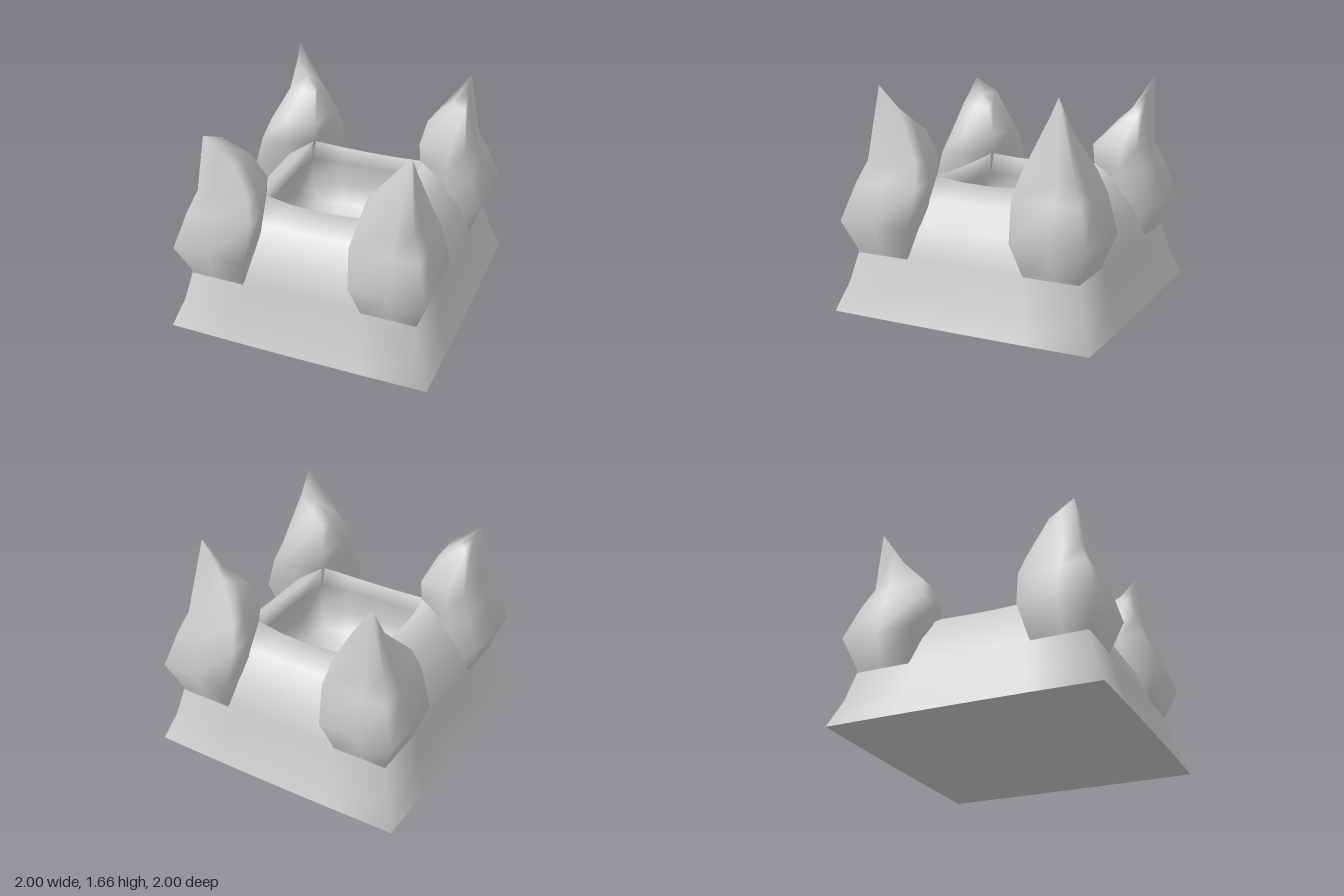
import * as THREE from 'three';

const material = new THREE.MeshStandardMaterial({ color: 0xcccccc });

// Skin a stack of closed loops (counter-clockwise from above), optionally capping the last one.
function loft(name, loops, cap) {
  const n = loops[0].length, points = loops.flat(), index = [];
  for (let i = 0; i < loops.length - 1; i++) {
    for (let j = 0; j < n; j++) {
      const k = (j + 1) % n, a = i * n + j, b = i * n + k;
      index.push(a, b, b + n, a, b + n, a + n);
    }
  }
  if (cap) {
    const last = (loops.length - 1) * n, sum = [0, 0, 0];
    loops[loops.length - 1].forEach(p => p.forEach((v, i) => { sum[i] += v / n; }));
    points.push(sum);
    for (let j = 0; j < n; j++) index.push(points.length - 1, last + j, last + (j + 1) % n);
  }
  const geometry = new THREE.BufferGeometry();
  geometry.setAttribute('position', new THREE.Float32BufferAttribute(points.flat(), 3));
  geometry.setIndex(index);
  geometry.computeVertexNormals();
  const mesh = new THREE.Mesh(geometry, material);
  mesh.name = name;
  return mesh;
}

// Square loop of half-size h whose sides bow outwards and whose corners lift.
function squareLoop([h, y, bow = 0, lift = 0]) {
  const loop = [];
  for (let side = 0; side < 4; side++) {
    for (let t = 0; t < 4; t++) {
      const u = -1 + t / 2;
      let x = u * h, z = h + bow * (1 - u * u);
      for (let r = 0; r < side; r++) [x, z] = [z, -x];
      loop.push([x, y + lift * u * u, z]);
    }
  }
  return loop;
}

// Spike sections: inner corner, inner side, outer side, height.
const spikeLevels = [
  [0.56, 0.52, 0.85, 0.3], [0.54, 0.44, 0.86, 0.48], [0.5, 0.39, 0.945, 0.7],
  [0.44, 0.365, 0.86, 0.97], [0.43, 0.4, 0.795, 1.13],
];

function spikeSection([c, lo, hi, y]) {
  const m = 0.67;
  return [[c, c], [m, lo], [hi, lo], [hi, m], [hi, hi], [m, hi], [lo, hi], [lo, m]]
    .map(([x, z]) => [x, y, z]);
}

// Each spike has its own crooked top: inner, outer-x, outer and outer-z corners.
const spikes = [
  { name: 'frontLeftSpike', sx: 1, sz: 1,
    top: [[0.48, 1.32, 0.5], [0.72, 1.5, 0.57], [0.74, 1.66, 0.72], [0.45, 1.32, 0.72]] },
  { name: 'frontRightSpike', sx: -1, sz: 1,
    top: [[0.52, 1.34, 0.51], [0.72, 1.44, 0.54], [0.75, 1.54, 0.74], [0.52, 1.36, 0.74]] },
  { name: 'backRightSpike', sx: -1, sz: -1,
    top: [[0.5, 1.32, 0.6], [0.7, 1.36, 0.62], [0.71, 1.64, 0.81], [0.52, 1.36, 0.75]] },
  { name: 'backLeftSpike', sx: 1, sz: -1,
    top: [[0.47, 1.31, 0.48], [0.74, 1.42, 0.54], [0.74, 1.66, 0.65], [0.55, 1.4, 0.68]] },
];

function makeSpike({ name, sx, sz, top }) {
  const tip = top.flatMap((p, i) => [p, p.map((v, k) => (v + top[(i + 1) % 4][k]) / 2)]);
  const loops = [...spikeLevels.map(spikeSection), tip].map(section => {
    const loop = section.map(([x, y, z]) => [x * sx, y, z * sz]);
    return sx * sz > 0 ? loop.reverse() : loop;
  });
  return loft(name, loops, true);
}

export function createModel() {
  const group = new THREE.Group();
  group.name = 'spikedPedestal';

  // Bulging walls, rim and deep bowl in one skin
  group.add(loft('wallsAndBowl', [
    [0.99, 0.03, 0.01], [0.91, 0.24], [0.855, 0.47], [0.78, 0.67],
    [0.63, 0.85, 0.01, 0.02], [0.45, 0.95, 0.03, 0.03],
    [0.48, 0.8, 0.03], [0.48, 0.6, 0.04], [0.4, 0.46, 0.05], [0.2, 0.39, 0.04],
  ].map(squareLoop), true));

  // Underside
  group.add(loft('underside', [[0, 0], [0.9, 0.005], [0.99, 0.03, 0.01]].map(squareLoop), false));

  // Four corner spikes
  spikes.forEach(s => group.add(makeSpike(s)));
  return group;
}
